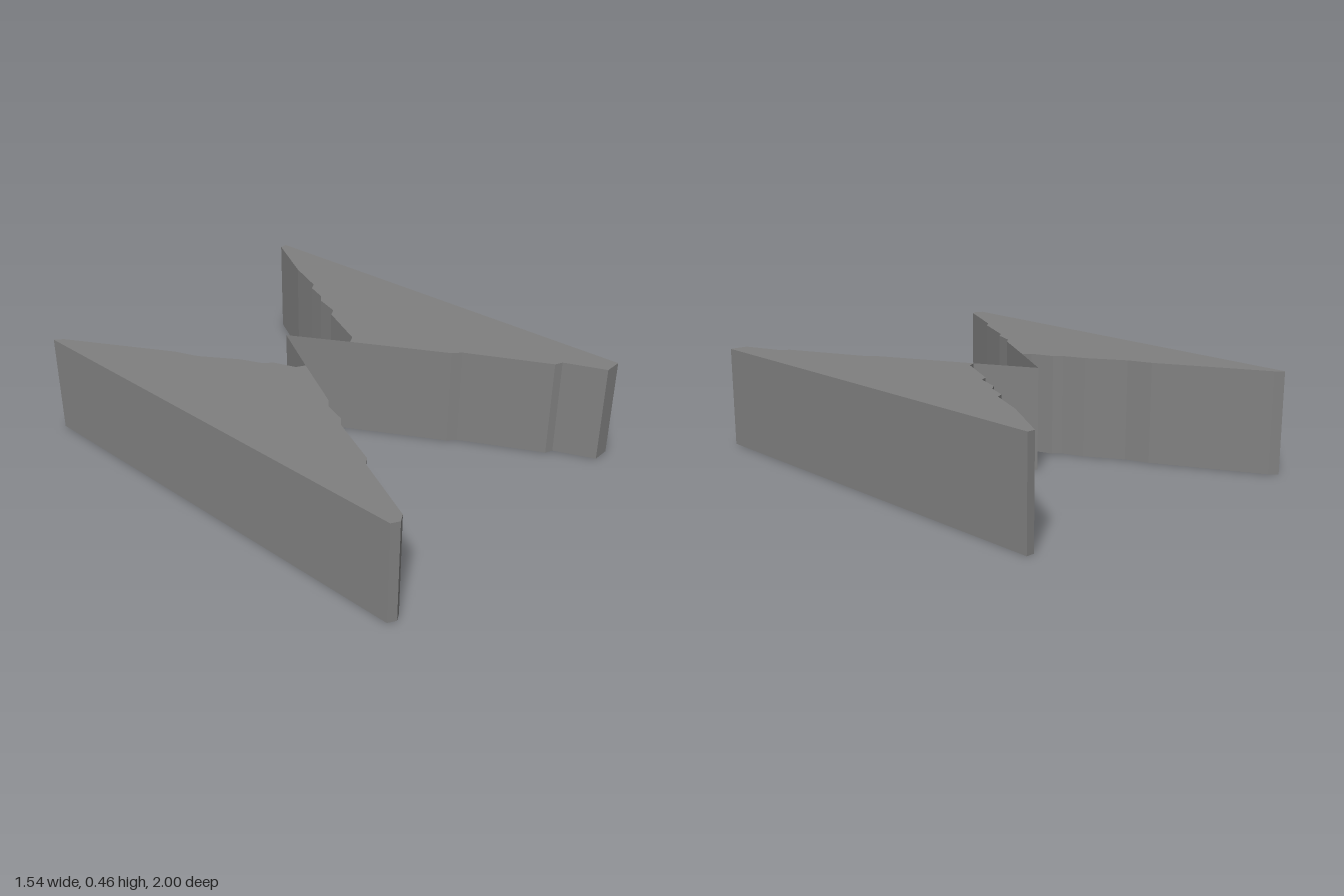
import * as THREE from 'three';

const HEIGHT = 0.455;

// Upright prism from a plan outline given as [x, z] pairs
function prism(name, outline, material) {
  const shape = new THREE.Shape(outline.map(([x, z]) => new THREE.Vector2(x, -z)));
  const geometry = new THREE.ExtrudeGeometry(shape, { depth: HEIGHT, bevelEnabled: false });
  geometry.rotateX(-Math.PI / 2);
  const mesh = new THREE.Mesh(geometry, material);
  mesh.name = name;
  return mesh;
}

// Upright sheet of no thickness between two plan points
function sheet(name, [x0, z0], [x1, z1], material) {
  const geometry = new THREE.PlaneGeometry(Math.hypot(x1 - x0, z1 - z0), HEIGHT);
  const mesh = new THREE.Mesh(geometry, material);
  mesh.position.set((x0 + x1) / 2, HEIGHT / 2, (z0 + z1) / 2);
  mesh.rotation.y = -Math.atan2(z1 - z0, x1 - x0);
  mesh.name = name;
  return mesh;
}

export function createModel() {
  const grey = new THREE.MeshStandardMaterial({ color: 0x808080, side: THREE.DoubleSide });
  grey.name = 'grey';

  const apex = [-0.005, -0.26];
  const rightTip = [-0.15, -0.005];
  const leftTip = [0.14, -0.005];

  // Wedge on the -x side, stepped along both slanting edges
  const rightOutline = [
    [-0.735, -1], [-0.7, -0.97], [-0.445, -0.515], [-0.405, -0.41], [-0.3, -0.25],
    [-0.26, -0.155], [-0.225, -0.125], [-0.188, -0.025], rightTip,
    [-0.3, 0.265], [-0.335, 0.295], [-0.37, 0.395], [-0.405, 0.425], [-0.515, 0.655],
    [-0.552, 0.685], [-0.7, 0.98], [-0.735, 1], [-0.77, 0.98],
  ];

  // Wedge on the +x side
  const leftOutline = [
    [0.69, -0.97], [0.725, -0.97], [0.77, 0.98], [0.688, 0.98], [0.613, 0.8],
    [0.578, 0.785], [0.395, 0.425], [0.36, 0.395], leftTip,
    [0.178, -0.025], [0.285, -0.25], [0.322, -0.27], [0.36, -0.385], [0.395, -0.415],
    [0.432, -0.51], [0.467, -0.53], [0.543, -0.71],
  ];

  const model = new THREE.Group();
  model.name = 'bowTieWalls';
  model.add(
    prism('rightWedge', rightOutline, grey),
    prism('leftWedge', leftOutline, grey),
    // V-shaped link joining the two wedge tips
    sheet('rightLinkSheet', rightTip, apex, grey),
    sheet('leftLinkSheet', apex, leftTip, grey),
  );
  return model;
}
